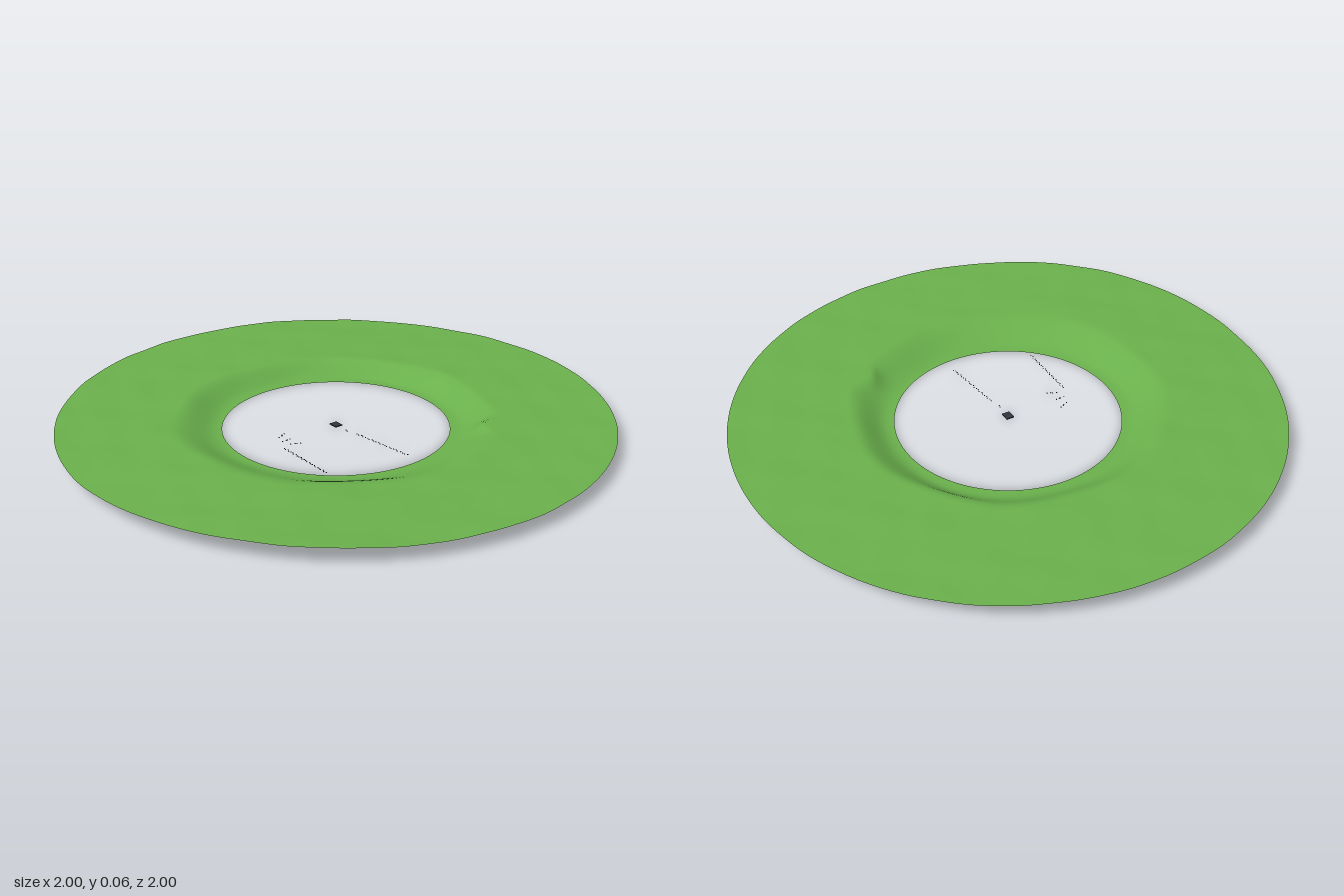
import * as THREE from 'three';
import { mergeVertices } from 'three/addons/utils/BufferGeometryUtils.js';

// Height of the land: a flat inner lip, a bank, then a gently rolling plain
function landHeight(x, z) {
  const r = Math.hypot(x, z);
  const a = Math.atan2(z, x);
  // the bank is steep at the back left and softer towards the front right
  const soft = 0.5 + 0.5 * Math.cos(a - 0.7);
  const start = 0.42 + 0.02 * (1 - soft) + 0.006 * Math.sin(5 * a);
  const end = 0.55 + 0.06 * soft + 0.01 * Math.sin(7 * a + 1);
  let bank = THREE.MathUtils.smoothstep(r, start, end);
  // small knoll on the back right of the bank
  const knoll = Math.exp(-((x - 0.41) ** 2 + (z + 0.37) ** 2) / 0.0018);
  bank = Math.min(1, bank + 0.45 * knoll * THREE.MathUtils.smoothstep(r, 0.42, 0.5));
  const roll = 0.004 * Math.sin(4.2 * x - 1.2 * z + 0.6) + 0.003 * Math.sin(3 * z - 2.3 * x + 1);
  const ripple = 0.0016 * Math.sin(17 * x + 6 * z) * Math.sin(13 * z - 5 * x + 1)
    + 0.0009 * Math.sin(31 * z + 9 * x) * Math.sin(23 * x - 4 * z);
  return bank * (0.053 + roll + ripple);
}

export function createModel() {
  const group = new THREE.Group();

  // Ring of land
  let land = new THREE.RingGeometry(0.412, 1, 160, 40).rotateX(-Math.PI / 2);
  const pos = land.attributes.position;
  for (let i = 0; i < pos.count; i++) pos.setY(i, landHeight(pos.getX(i), pos.getZ(i)));
  land.deleteAttribute('uv');
  land.deleteAttribute('normal');
  land = mergeVertices(land, 1e-5);
  land.computeVertexNormals();
  const ring = new THREE.Mesh(land, new THREE.MeshStandardMaterial({ color: 0x6ab04c, side: THREE.DoubleSide }));
  ring.name = 'landRing';
  group.add(ring);

  // Small dark plate in the middle
  const dark = new THREE.MeshStandardMaterial({ color: 0x33353f });
  const plate = new THREE.Mesh(new THREE.BoxGeometry(0.036, 0.004, 0.03), dark);
  plate.name = 'centrePlate';
  plate.position.y = 0.002;
  group.add(plate);

  // Rows of tiny flecks on the open floor: [x0, z0, x1, z1, count]
  const fleck = new THREE.BoxGeometry(0.004, 0.002, 0.003);
  const rows = [
    [0.06, 0, 0.07, 0, 2], [0.11, -0.01, 0.35, -0.04, 24], [0.05, 0.265, 0.29, 0.265, 26],
    [-0.05, 0.195, -0.035, 0.225, 4], [0, 0.205, 0, 0.235, 4], [0.05, 0.195, 0.035, 0.225, 4],
  ];
  const flecks = new THREE.Group();
  flecks.name = 'floorFlecks';
  for (const [x0, z0, x1, z1, n] of rows) {
    for (let i = 0; i < n; i++) {
      const t = i / (n - 1);
      const m = new THREE.Mesh(fleck, dark);
      m.name = 'fleck';
      m.position.set(x0 + (x1 - x0) * t, 0.001, z0 + (z1 - z0) * t + 0.003 * Math.sin(i * 2.4));
      flecks.add(m);
    }
  }
  group.add(flecks);
  return group;
}
